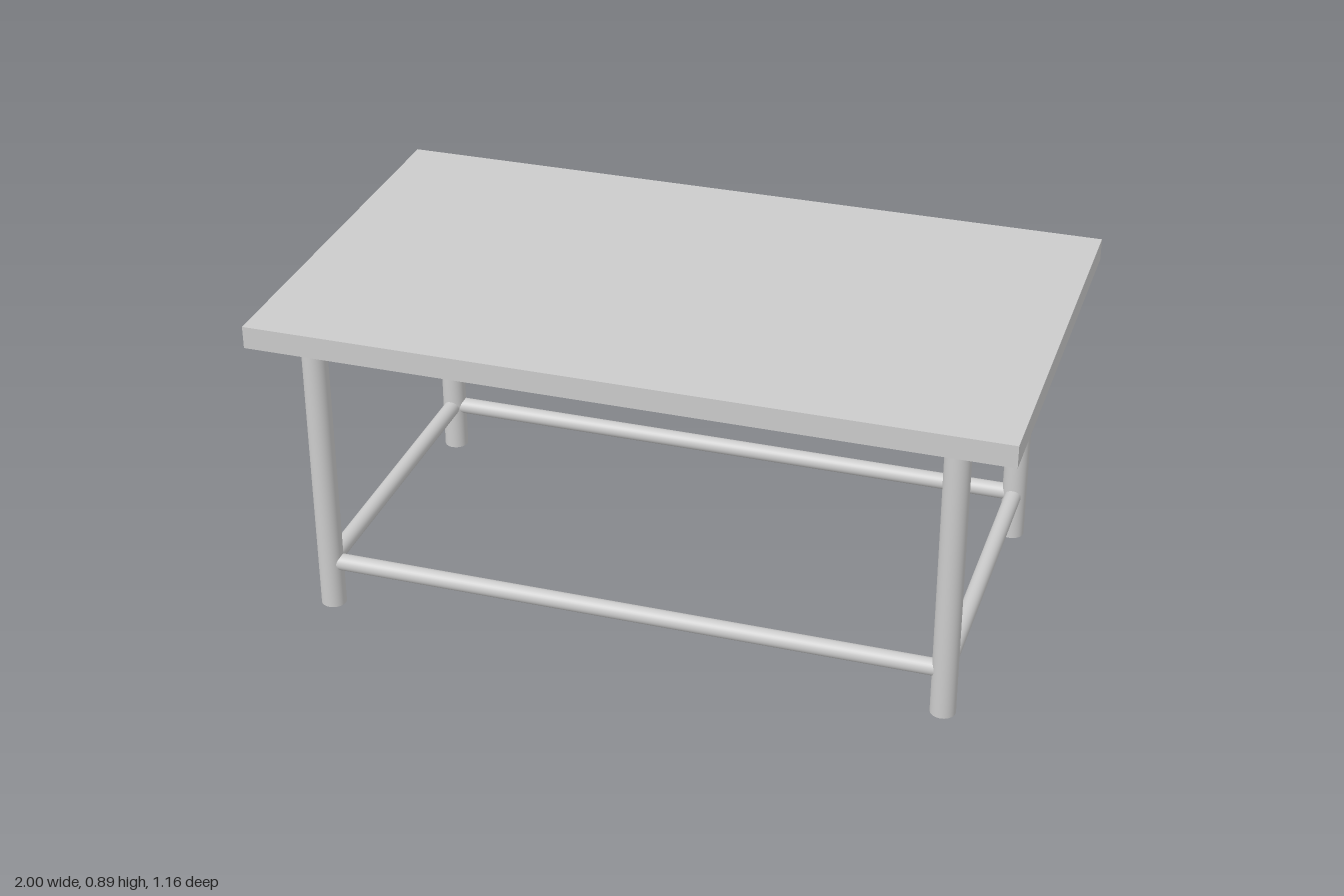
import * as THREE from 'three';

const material = new THREE.MeshStandardMaterial({ color: 0xcccccc });

export function createModel() {
  const model = new THREE.Group();
  model.name = 'table';

  const add = (name, geometry, x, y, z) => {
    const mesh = new THREE.Mesh(geometry, material);
    mesh.name = name;
    mesh.position.set(x, y, z);
    model.add(mesh);
    return mesh;
  };

  const topHeight = 0.888, topThickness = 0.061;
  const legHeight = topHeight - topThickness;
  const legRadius = 0.034, railRadius = 0.023, railY = 0.132;
  // The leg frame sits slightly off centre under the top
  const legX = { right: -0.866, left: 0.834 };
  const legZ = { front: 0.454, back: -0.447 };
  const midX = (legX.left + legX.right) / 2, spanX = legX.left - legX.right;
  const midZ = (legZ.front + legZ.back) / 2, spanZ = legZ.front - legZ.back;

  // Flat table top
  add('tableTop', new THREE.BoxGeometry(2, topThickness, 1.16), 0, topHeight - topThickness / 2, 0);

  // Round legs
  const legGeometry = new THREE.CylinderGeometry(legRadius, legRadius, legHeight, 40);
  for (const [endName, z] of Object.entries(legZ))
    for (const [sideName, x] of Object.entries(legX))
      add(`${endName}Leg ${sideName}`, legGeometry, x, legHeight / 2, z);

  // Long rails joining the legs along x
  const longRail = new THREE.CylinderGeometry(railRadius, railRadius, spanX, 32).rotateZ(Math.PI / 2);
  for (const [endName, z] of Object.entries(legZ)) add(`${endName}Rail`, longRail, midX, railY, z);

  // Short rails joining the legs along z
  const shortRail = new THREE.CylinderGeometry(railRadius, railRadius, spanZ, 32).rotateX(Math.PI / 2);
  for (const [sideName, x] of Object.entries(legX)) add(`${sideName}Rail`, shortRail, x, railY, midZ);

  return model;
}
